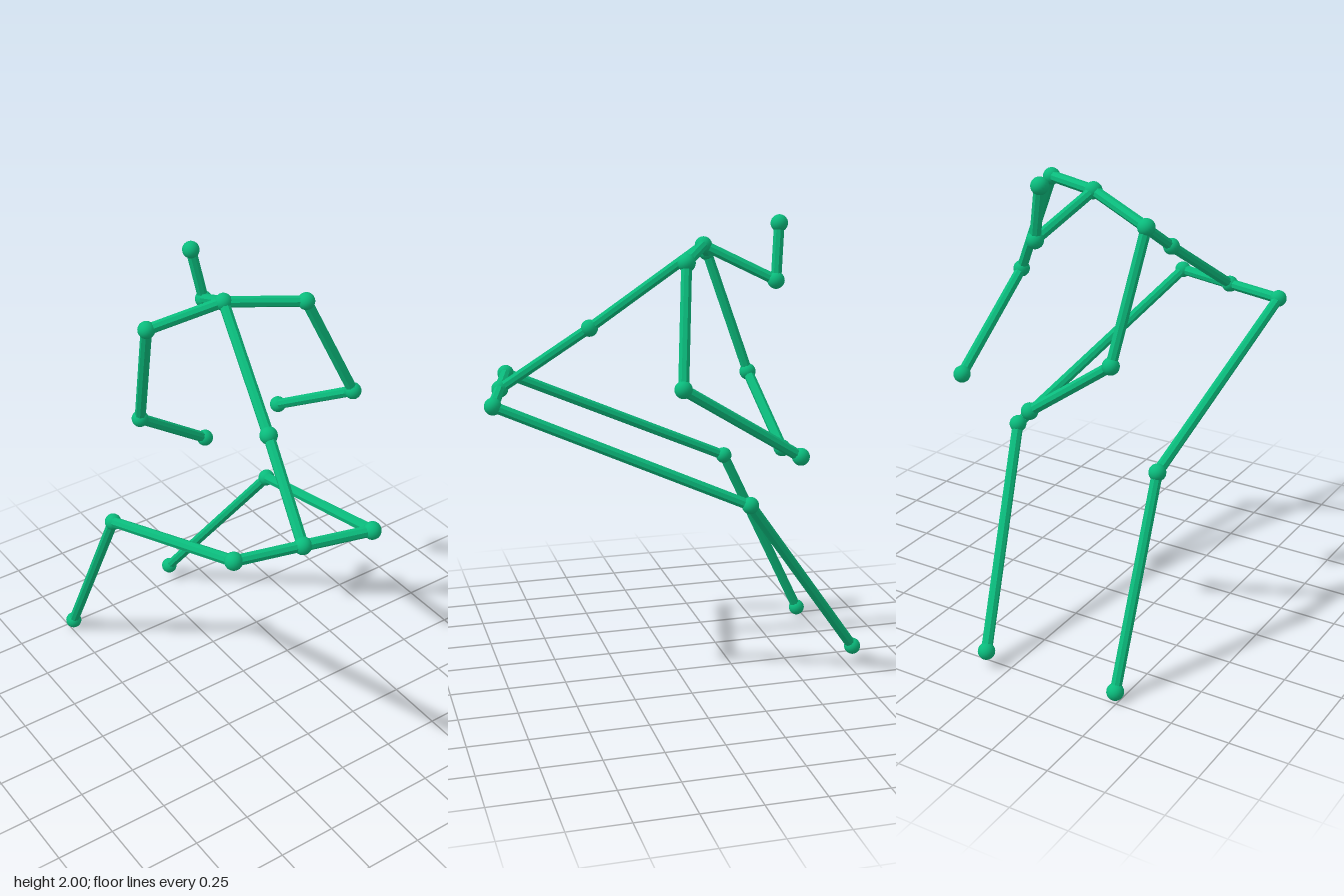
import * as THREE from 'three';

const JOINT_RADIUS = 0.036;
const BONE_RADIUS = 0.023;

// Joint centres of the posed stick figure
const JOINTS = {
  headTop: [0.035, 1.964, -0.427],
  neck: [0.077, 1.735, -0.403],
  chest: [-0.015, 1.878, -0.117],
  spine: [-0.12, 1.534, 0.345],
  pelvis: [-0.22, 1.273, 0.713],
  rightHip: [-0.49, 1.275, 0.645],
  rightKnee: [-0.447, 0.838, -0.342],
  rightAnkle: [-0.481, 0.038, -0.724],
  leftHip: [0.057, 1.271, 0.785],
  leftKnee: [0.291, 0.838, -0.237],
  leftAnkle: [0.098, 0.07, -0.785],
  rightShoulder: [-0.315, 1.8, -0.218],
  rightElbow: [-0.26, 1.272, -0.392],
  rightWrist: [0.095, 1.017, -0.437],
  leftShoulder: [0.281, 1.858, 0.036],
  leftElbow: [0.487, 1.4, 0.104],
  leftWrist: [0.461, 1.085, -0.392],
};

// Chains of joints linked by bones
const CHAINS = {
  back: ['pelvis', 'spine', 'chest', 'neck', 'headTop'],
  rightLeg: ['pelvis', 'rightHip', 'rightKnee', 'rightAnkle'],
  leftLeg: ['pelvis', 'leftHip', 'leftKnee', 'leftAnkle'],
  rightArm: ['chest', 'rightShoulder', 'rightElbow', 'rightWrist'],
  leftArm: ['chest', 'leftShoulder', 'leftElbow', 'leftWrist'],
};

export function createModel() {
  const model = new THREE.Group();
  model.name = 'stickFigure';

  const green = new THREE.MeshStandardMaterial({ color: 0x0abb7c });
  green.name = 'green';

  // Faceted rods share one unit-length cylinder
  const rod = new THREE.CylinderGeometry(BONE_RADIUS, BONE_RADIUS, 1, 8).toNonIndexed();
  rod.computeVertexNormals();
  const ball = new THREE.SphereGeometry(JOINT_RADIUS, 20, 14);
  const up = new THREE.Vector3(0, 1, 0);

  // Balls at the joints
  const joints = new THREE.Group();
  joints.name = 'joints';
  for (const [name, position] of Object.entries(JOINTS)) {
    const mesh = new THREE.Mesh(ball, green);
    mesh.name = `${name}Joint`;
    mesh.position.set(...position);
    joints.add(mesh);
  }
  model.add(joints);

  // Rods between neighbouring joints
  for (const [name, chain] of Object.entries(CHAINS)) {
    const limb = new THREE.Group();
    limb.name = name;
    for (let i = 1; i < chain.length; i++) {
      const a = new THREE.Vector3(...JOINTS[chain[i - 1]]);
      const b = new THREE.Vector3(...JOINTS[chain[i]]);
      const direction = b.clone().sub(a);
      const bone = new THREE.Mesh(rod, green);
      bone.name = `${chain[i]}Bone`;
      bone.scale.y = direction.length();
      bone.position.copy(a).add(b).multiplyScalar(0.5);
      bone.quaternion.setFromUnitVectors(up, direction.normalize());
      limb.add(bone);
    }
    model.add(limb);
  }
  return model;
}
